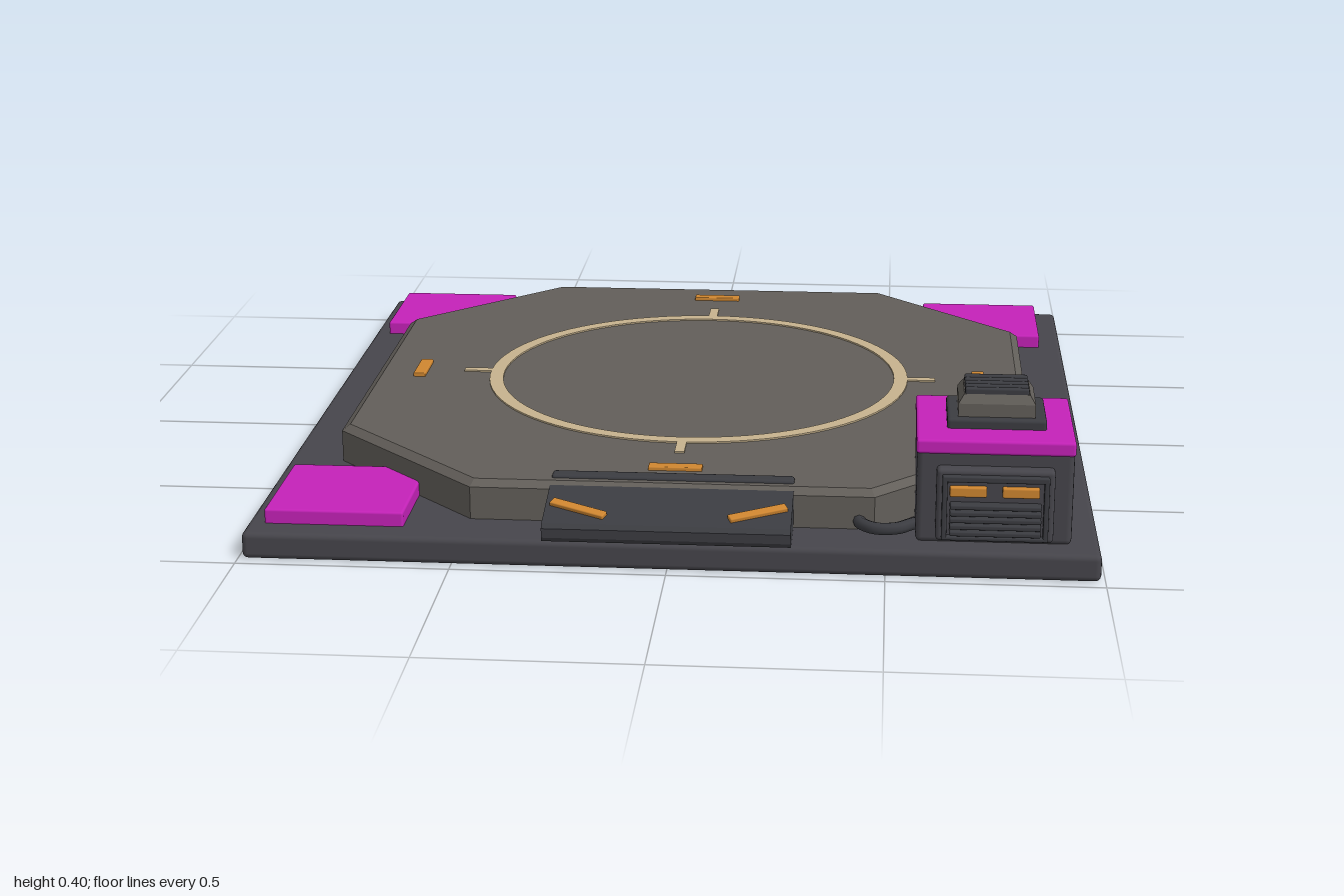
import * as THREE from 'three';
import { RoundedBoxGeometry } from 'three/addons/geometries/RoundedBoxGeometry.js';

const paint = (name, color) => {
  const m = new THREE.MeshStandardMaterial({ color });
  m.name = name;
  return m;
};

export function createModel() {
  const slab = paint('slab grey', 0x46454b);
  const deck = paint('deck grey', 0x625e59);
  const dark = paint('dark trim', 0x3b3c41);
  const magenta = paint('magenta', 0xc422b8);
  const orange = paint('orange', 0xcf8630);
  const sand = paint('sand marking', 0xc6b28e);

  const root = new THREE.Group();
  root.name = 'landingPad';
  const CZ = -0.014; // centre of the pad along z

  const add = (name, geo, mat, parent = root) => {
    const mesh = new THREE.Mesh(geo, mat);
    mesh.name = name;
    parent.add(mesh);
    return mesh;
  };
  // Box given by its limits, with softened edges when r > 0
  const box = (name, mat, [x0, x1], [y0, y1], [z0, z1], r = 0, parent = root) => {
    const s = [x1 - x0, y1 - y0, z1 - z0];
    const geo = r ? new RoundedBoxGeometry(...s, 2, r) : new THREE.BoxGeometry(...s);
    const mesh = add(name, geo, mat, parent);
    mesh.position.set((x0 + x1) / 2, (y0 + y1) / 2, (z0 + z1) / 2);
    return mesh;
  };
  // Box whose top face is shrunk by an inset
  const taperBox = (name, mat, xs, ys, zs, inset) => {
    const mesh = box(name, mat, xs, ys, zs);
    const p = mesh.geometry.attributes.position;
    for (let i = 0; i < p.count; i++) {
      if (p.getY(i) > 0) {
        p.setX(i, p.getX(i) - Math.sign(p.getX(i)) * inset);
        p.setZ(i, p.getZ(i) - Math.sign(p.getZ(i)) * inset);
      }
    }
    mesh.geometry = mesh.geometry.toNonIndexed();
    mesh.geometry.computeVertexNormals();
    return mesh;
  };

  // Ground slab
  box('baseSlab', slab, [-0.99, 0.99], [0, 0.065], [-1, 0.973], 0.014);

  // Octagonal deck with a bevelled rim
  const h = 0.835, c = 0.465;
  const octagon = new THREE.Shape([
    [h, -c], [h, c], [c, h], [-c, h], [-h, c], [-h, -c], [-c, -h], [c, -h],
  ].map(([x, y]) => new THREE.Vector2(x, y)));
  const deckGeo = new THREE.ExtrudeGeometry(octagon, {
    depth: 0.085, bevelEnabled: true, bevelSegments: 1, bevelSize: 0.02, bevelThickness: 0.015,
  });
  deckGeo.rotateX(-Math.PI / 2);
  add('deck', deckGeo, deck).position.set(0, 0.059, CZ);

  // Painted ring with four ticks
  const ring = new THREE.Shape().absarc(0, 0, 0.55, 0, Math.PI * 2);
  ring.holes.push(new THREE.Path().absarc(0, 0, 0.514, 0, Math.PI * 2, true));
  const ringGeo = new THREE.ExtrudeGeometry(ring, { depth: 0.005, bevelEnabled: false, curveSegments: 40 });
  ringGeo.rotateX(-Math.PI / 2);
  add('landingRing', ringGeo, sand).position.set(0, 0.158, CZ);

  for (let i = 0; i < 4; i++) {
    const arm = new THREE.Group();
    arm.name = 'deckMarkings';
    arm.position.z = CZ;
    arm.rotation.y = i * Math.PI / 2;
    root.add(arm);
    box('ringTick', sand, [-0.012, 0.012], [0.157, 0.163], [0.545, 0.622], 0, arm);
    box('deckLight', orange, [-0.064, 0.064], [0.155, 0.168], [0.718, 0.75], 0.003, arm);
  }

  // Corner plates
  for (const [x, z] of [[-0.785, -0.803], [0.763, -0.803], [-0.785, 0.747]]) {
    box('cornerPlate', magenta, [x - 0.164, x + 0.164], [0.06, 0.1], [z - 0.159, z + 0.159], 0.006);
  }

  // Front ramp: side profile as (z, y) pulled across x
  const profile = new THREE.Shape([
    [0.78, 0.066], [0.97, 0.066], [0.995, 0.074], [1, 0.084], [1, 0.106],
    [0.99, 0.116], [0.80, 0.158], [0.78, 0.158],
  ].map(([z, y]) => new THREE.Vector2(z, y)));
  const rampGeo = new THREE.ExtrudeGeometry(profile, { depth: 0.57, bevelEnabled: false });
  rampGeo.translate(0, 0, -0.285).rotateY(-Math.PI / 2);
  add('ramp', rampGeo, dark);
  box('rampHinge', dark, [-0.285, 0.285], [0.125, 0.167], [0.767, 0.805], 0.008);

  // Slanted lights on the ramp
  const rampLights = new THREE.Group();
  rampLights.name = 'rampLights';
  rampLights.position.set(0, 0.131, 0.933);
  rampLights.rotation.x = 0.218;
  root.add(rampLights);
  for (const s of [-1, 1]) {
    const light = box('rampLight', orange, [-0.07, 0.07], [-0.006, 0.007], [-0.012, 0.012], 0.003, rampLights);
    light.position.x = s * 0.207;
    light.rotation.y = s * 0.4;
  }

  // Control box and lid
  box('controlBox', slab, [0.567, 0.924], [0.062, 0.29], [0.58, 0.908], 0.014);
  box('controlBoxLid', magenta, [0.565, 0.926], [0.278, 0.312], [0.576, 0.911], 0.007);

  // Roof vent
  box('ventBase', dark, [0.635, 0.863], [0.305, 0.335], [0.645, 0.825], 0.008);
  box('ventBody', deck, [0.66, 0.837], [0.33, 0.366], [0.665, 0.807]);
  taperBox('ventCap', deck, [0.66, 0.837], [0.366, 0.386], [0.665, 0.807], 0.013);
  for (let i = 0; i < 5; i++) {
    const z = 0.686 + i * 0.025;
    box('roofVentSlat', dark, [0.675, 0.822], [0.38, 0.4], [z - 0.008, z + 0.008], 0.005);
  }

  // Front panel with a frame, two lights and louvres
  box('panel', slab, [0.612, 0.88], [0.078, 0.252], [0.9, 0.938], 0.01);
  const frame = [
    [[0.625, 0.867], [0.225, 0.24]], [[0.625, 0.867], [0.085, 0.095]],
    [[0.625, 0.637], [0.085, 0.24]], [[0.855, 0.867], [0.085, 0.24]],
  ];
  for (const [xs, ys] of frame) box('panelFrame', dark, xs, ys, [0.93, 0.952], 0.004);
  for (const x of [0.684, 0.803]) {
    box('panelLight', orange, [x - 0.042, x + 0.042], [0.19, 0.214], [0.93, 0.952], 0.004);
  }
  for (let i = 0; i < 5; i++) {
    const y = 0.105 + i * 0.016;
    box('panelLouvre', dark, [0.643, 0.85], [y - 0.006, y + 0.006], [0.93, 0.962], 0.004);
  }

  // Cable from the deck to the control box
  const cable = new THREE.CatmullRomCurve3([
    [0.44, 0.085, 0.81], [0.44, 0.085, 0.85], [0.475, 0.083, 0.88],
    [0.525, 0.083, 0.876], [0.56, 0.085, 0.85], [0.59, 0.085, 0.835],
  ].map((p) => new THREE.Vector3(...p)));
  add('cable', new THREE.TubeGeometry(cable, 24, 0.015, 8), dark);

  return root;
}
